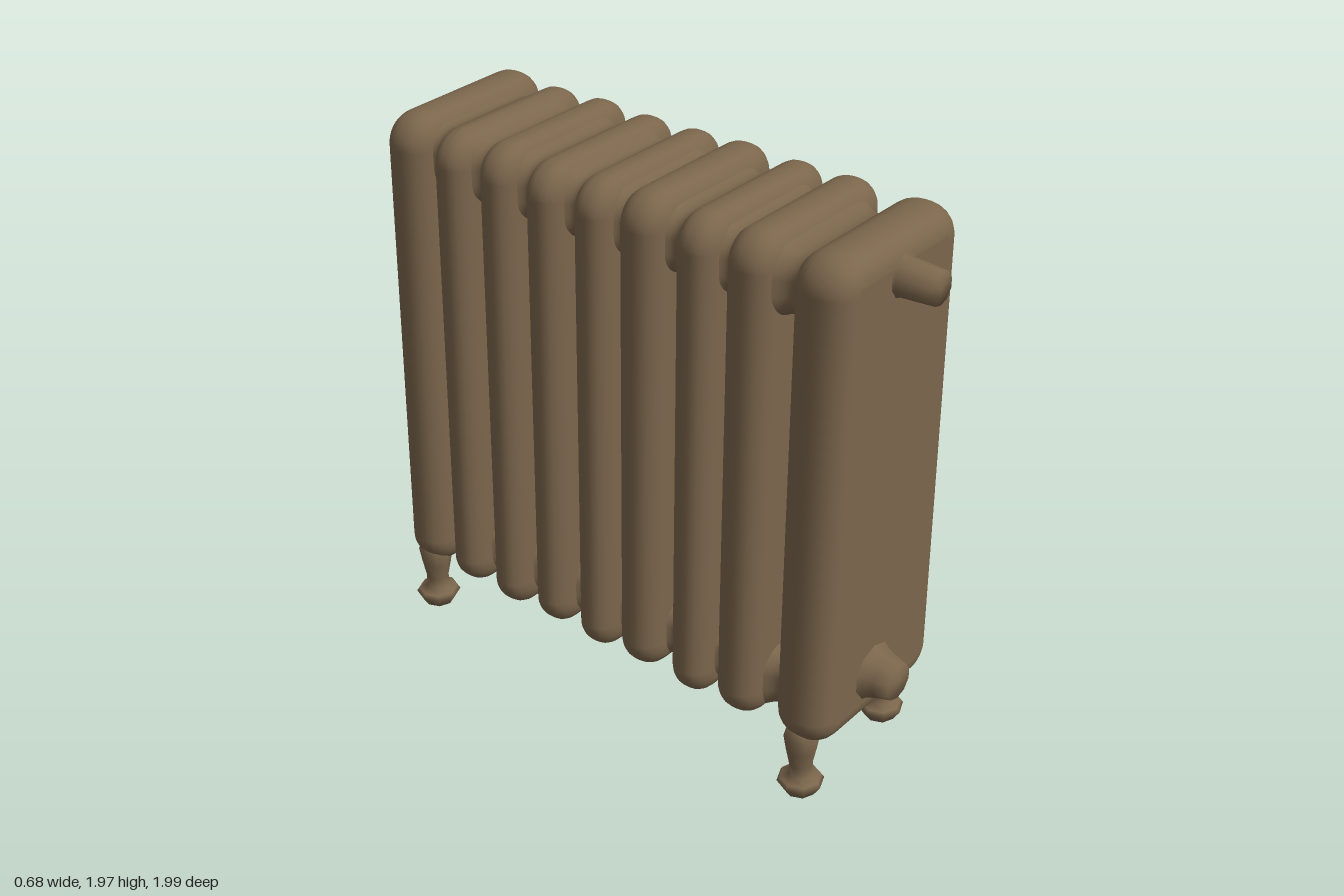
import * as THREE from 'three';
import { mergeVertices } from 'three/addons/utils/BufferGeometryUtils.js';

const iron = new THREE.MeshStandardMaterial({ color: 0x7b664c });
iron.name = 'brown cast iron';

// z centre, thickness, bottom, top of each section, front to back
const SECTIONS = [
  [0.768, 0.208, 0.215, 1.965], [0.505, 0.17, 0.2, 1.965], [0.305, 0.15, 0.19, 1.96],
  [0.088, 0.165, 0.2, 1.965], [-0.105, 0.145, 0.19, 1.955], [-0.305, 0.145, 0.2, 1.95],
  [-0.505, 0.145, 0.19, 1.955], [-0.705, 0.145, 0.2, 1.945], [-0.905, 0.175, 0.205, 1.955],
];

// rounded rectangle whose left edge may lean inwards towards the top
function roundedRect(x0, x1, y0, y1, r, lean = 0) {
  const s = new THREE.Shape();
  s.absarc(x1 - r, y0 + r, r, -Math.PI / 2, 0);
  s.absarc(x1 - r, y1 - r, r, 0, Math.PI / 2);
  s.absarc(x0 + lean + r, y1 - r, r, Math.PI / 2, Math.PI);
  s.absarc(x0 + r, y0 + r, r, Math.PI, Math.PI * 1.5);
  s.closePath();
  return s;
}

// weld a faceted geometry so it shades smoothly
function smooth(geo) {
  geo.deleteAttribute('uv');
  geo.deleteAttribute('normal');
  const out = mergeVertices(geo, 1e-4);
  out.computeVertexNormals();
  return out;
}

function add(parent, name, geo, x = 0, y = 0, z = 0) {
  const m = new THREE.Mesh(geo, iron);
  m.name = name;
  m.position.set(x, y, z);
  parent.add(m);
  return m;
}

// one upright section with fully rounded rims
function sectionGeometry(thick, y0, y1) {
  const flat = 0.02, bevel = 0.085;
  const geo = new THREE.ExtrudeGeometry(roundedRect(-0.328, 0.338, y0, y1, 0.11, 0.02), {
    depth: flat, bevelEnabled: true, bevelThickness: (thick - flat) / 2,
    bevelSize: bevel, bevelOffset: -bevel, bevelSegments: 6, curveSegments: 6,
  });
  geo.translate(0, 0, -flat / 2);
  return smooth(geo);
}

// swell from 0 midway between two sections to 1 at a section centre
function swell(z) {
  for (let i = 1; i < SECTIONS.length; i++) {
    const a = SECTIONS[i - 1][0], b = SECTIONS[i][0];
    if (z >= b) return 0.5 + 0.5 * Math.cos((2 * Math.PI * (a - z)) / (a - b));
  }
  return 1;
}

// connecting header that swells where it meets each section
function headerGeometry(height) {
  const z0 = -0.905, z1 = 0.768;
  const geo = new THREE.ExtrudeGeometry(roundedRect(-0.235, 0.235, -height / 2, height / 2, 0.08), {
    depth: z1 - z0, steps: 120, bevelEnabled: false, curveSegments: 5,
  });
  geo.translate(0, 0, z0);
  const p = geo.attributes.position;
  for (let i = 0; i < p.count; i++) {
    const k = swell(p.getZ(i));
    p.setX(i, p.getX(i) * (1 + 0.32 * k));
    p.setY(i, p.getY(i) * (1 + 0.35 * k));
  }
  return smooth(geo);
}

function lathe(points, sides) {
  return new THREE.LatheGeometry(points.map(([r, y]) => new THREE.Vector2(r, y)), sides);
}

export function createModel() {
  const radiator = new THREE.Group();
  radiator.name = 'radiator';

  // sections
  SECTIONS.forEach(([z, t, y0, y1], i) => {
    add(radiator, `section${i + 1}`, sectionGeometry(t, y0, y1), 0, 0, z);
  });

  // top and bottom headers
  add(radiator, 'topHeader', headerGeometry(0.21), 0.005, 1.805, 0);
  add(radiator, 'bottomHeader', headerGeometry(0.21), 0.005, 0.345, 0);

  // tapered legs with flared feet
  const legGeo = lathe([[0, 0.01], [0.055, 0.01], [0.08, 0.05], [0.07, 0.065],
    [0.04, 0.075], [0.04, 0.12], [0.052, 0.18], [0.062, 0.24], [0.04, 0.28], [0, 0.29]], 8);
  for (const [end, z, y] of [['front', 0.76, -0.01], ['back', -0.905, 0.01]]) {
    add(radiator, `${end}RightLeg`, legGeo, -0.262, y, z);
    add(radiator, `${end}LeftLeg`, legGeo, 0.205, 0.015, z);
  }

  // pipe stubs on the front
  const topPipe = add(radiator, 'topPipe',
    lathe([[0.085, 0], [0.064, 0.03], [0.056, 0.15], [0, 0.15]], 10), 0.01, 1.835, 0.85);
  const bottomPipe = add(radiator, 'bottomPipe',
    lathe([[0.12, 0], [0.09, 0.035], [0.078, 0.07], [0.065, 0.12], [0, 0.125]], 10), -0.03, 0.405, 0.85);
  topPipe.rotation.x = bottomPipe.rotation.x = Math.PI / 2;

  return radiator;
}
